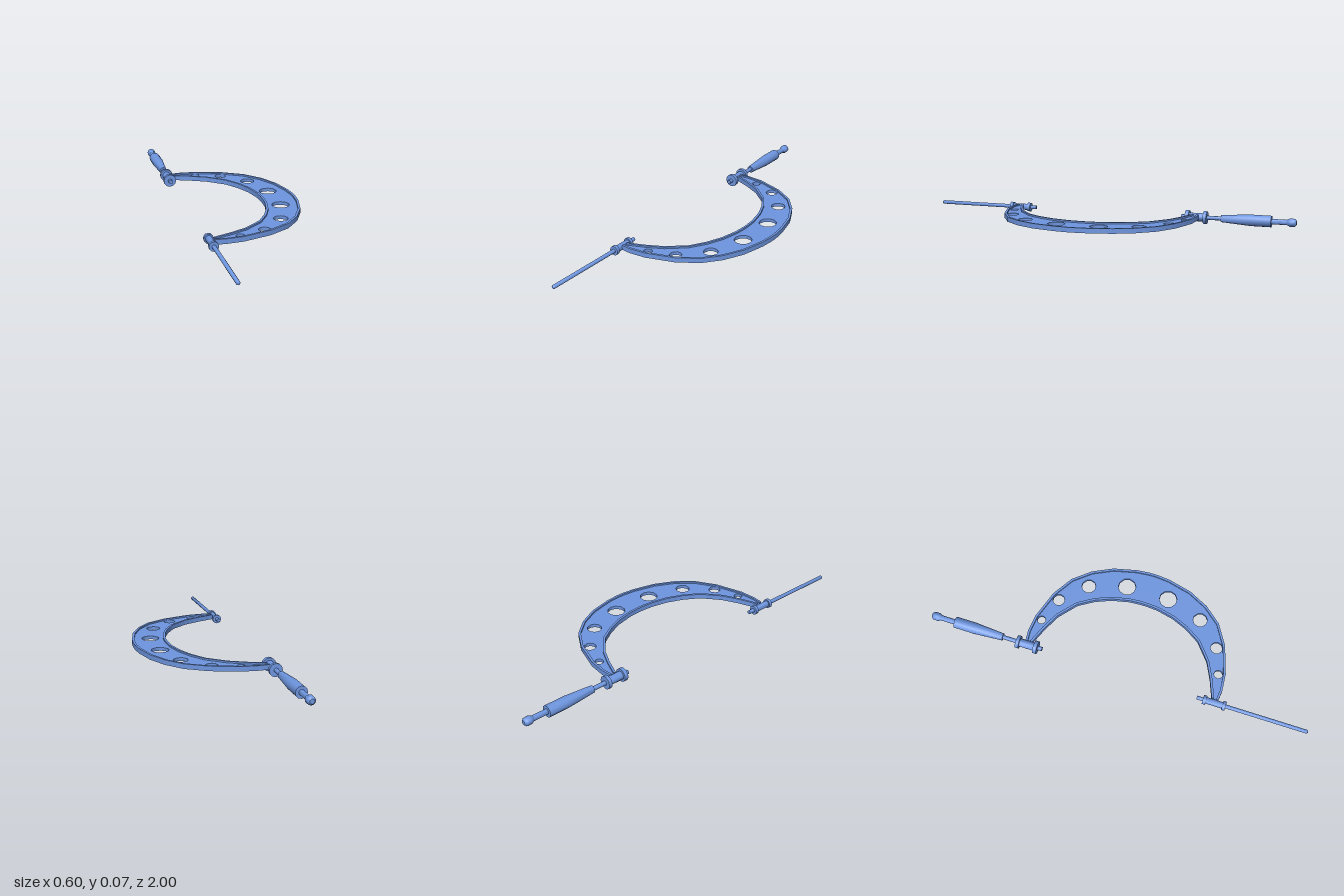
import * as THREE from 'three';
import { toCreasedNormals } from 'three/addons/utils/BufferGeometryUtils.js';

const AXIS_X = -0.267, AXIS_Y = 0.035, FRAME_Z = 0.019;
const material = new THREE.MeshStandardMaterial({ color: 0x6e96e0 });

function addMesh(parent, name, geometry) {
  const mesh = new THREE.Mesh(toCreasedNormals(geometry, 0.7), material);
  mesh.name = name;
  parent.add(mesh);
  return mesh;
}

// Round part on the measuring axis; profile is [radius, z] in rising z
function turned(parent, name, profile) {
  const points = profile.map(([r, z]) => new THREE.Vector2(r, z));
  points.unshift(new THREE.Vector2(0, profile[0][1]));
  points.push(new THREE.Vector2(0, profile[profile.length - 1][1]));
  const geometry = new THREE.LatheGeometry(points, 12);
  geometry.rotateX(Math.PI / 2);
  addMesh(parent, name, geometry).position.set(AXIS_X, AXIS_Y, 0);
}

const rod = (r, z0, z1) => [[r, z0], [r, z1]];

// Half curves of the bow, from tip to middle
const outerHalf = [[-0.252, 0.513], [-0.2, 0.518], [-0.11, 0.51], [0.035, 0.464],
  [0.14, 0.4], [0.213, 0.313], [0.264, 0.21], [0.293, 0.09], [0.3, 0.02]];
const innerHalf = [[-0.252, 0.478], [-0.16, 0.442], [-0.075, 0.4], [0.015, 0.325],
  [0.065, 0.245], [0.098, 0.165], [0.118, 0.075], [0.122, 0.02]];

// Mirror a half curve and shift it sideways by d
function fullCurve(half, d) {
  const pts = [...half, ...half.map(([x, y]) => [x, -y]).reverse()];
  return pts.map(([x, y], i) => {
    const a = pts[Math.max(i - 1, 0)], b = pts[Math.min(i + 1, pts.length - 1)];
    const tx = b[0] - a[0], ty = b[1] - a[1], l = Math.hypot(tx, ty);
    return new THREE.Vector2(x + (ty / l) * d, y - (tx / l) * d);
  });
}

function extrudeFlat(shape, y0, y1) {
  const geometry = new THREE.ExtrudeGeometry(shape,
    { depth: y1 - y0, bevelEnabled: false, curveSegments: 5 });
  geometry.rotateX(-Math.PI / 2);
  geometry.translate(0, y0, FRAME_Z);
  return geometry;
}

export function createModel() {
  const model = new THREE.Group();
  model.name = 'micrometer';

  // Bow: pierced web with a raised rim on its upper face
  const bow = new THREE.Group();
  bow.name = 'bow';
  model.add(bow);
  const web = new THREE.Shape([...fullCurve(outerHalf, 0), ...fullCurve(innerHalf, 0).reverse()]);
  const holes = [[-0.12, 0.474, 0.022], [0.012, 0.426, 0.031],
    [0.132, 0.303, 0.037], [0.191, 0.112, 0.046]];
  for (const [x, y, r] of holes) {
    for (const side of [1, -1]) {
      // Counter-clockwise against the clockwise outline, so the walls face into the hole
      web.holes.push(new THREE.Path().absarc(x, y * side, r, 0, Math.PI * 2, false));
    }
  }
  addMesh(bow, 'web', extrudeFlat(web, 0.027, 0.044));

  // Rim: strips along both edges of the bow
  for (const [name, half, d] of [['outerRim', outerHalf, 0.012], ['innerRim', innerHalf, -0.012]]) {
    const strip = new THREE.Shape([...fullCurve(half, 0), ...fullCurve(half, d).reverse()]);
    addMesh(bow, name, extrudeFlat(strip, 0.043, 0.052));
  }

  // Anvil side: long thin rod with a rounded end, held in a flanged hub
  const anvil = new THREE.Group();
  anvil.name = 'anvil';
  model.add(anvil);
  turned(anvil, 'anvilRod', [[0.01, 0.425], [0.01, 0.992], [0.008, 0.997], [0.004, 1.0]]);
  turned(anvil, 'anvilHub', rod(0.017, 0.465, 0.56));
  turned(anvil, 'anvilInnerFlange', rod(0.024, 0.457, 0.474));
  turned(anvil, 'anvilOuterFlange', rod(0.024, 0.558, 0.575));

  // Thimble side: hub, spindle, tapered handle and knob
  const thimble = new THREE.Group();
  thimble.name = 'thimble';
  model.add(thimble);
  turned(thimble, 'spindle', rod(0.011, -0.62, -0.4));
  turned(thimble, 'spindleHub', rod(0.022, -0.53, -0.43));
  turned(thimble, 'spindleInnerFlange', rod(0.034, -0.443, -0.423));
  turned(thimble, 'spindleOuterFlange', rod(0.034, -0.537, -0.519));
  turned(thimble, 'handle', [[0.03, -0.873], [0.03, -0.765], [0.019, -0.612]]);
  turned(thimble, 'neck', rod(0.014, -0.955, -0.87));
  turned(thimble, 'knob', [[0.012, -1.0], [0.021, -0.99], [0.022, -0.967], [0.014, -0.951]]);

  return model;
}
